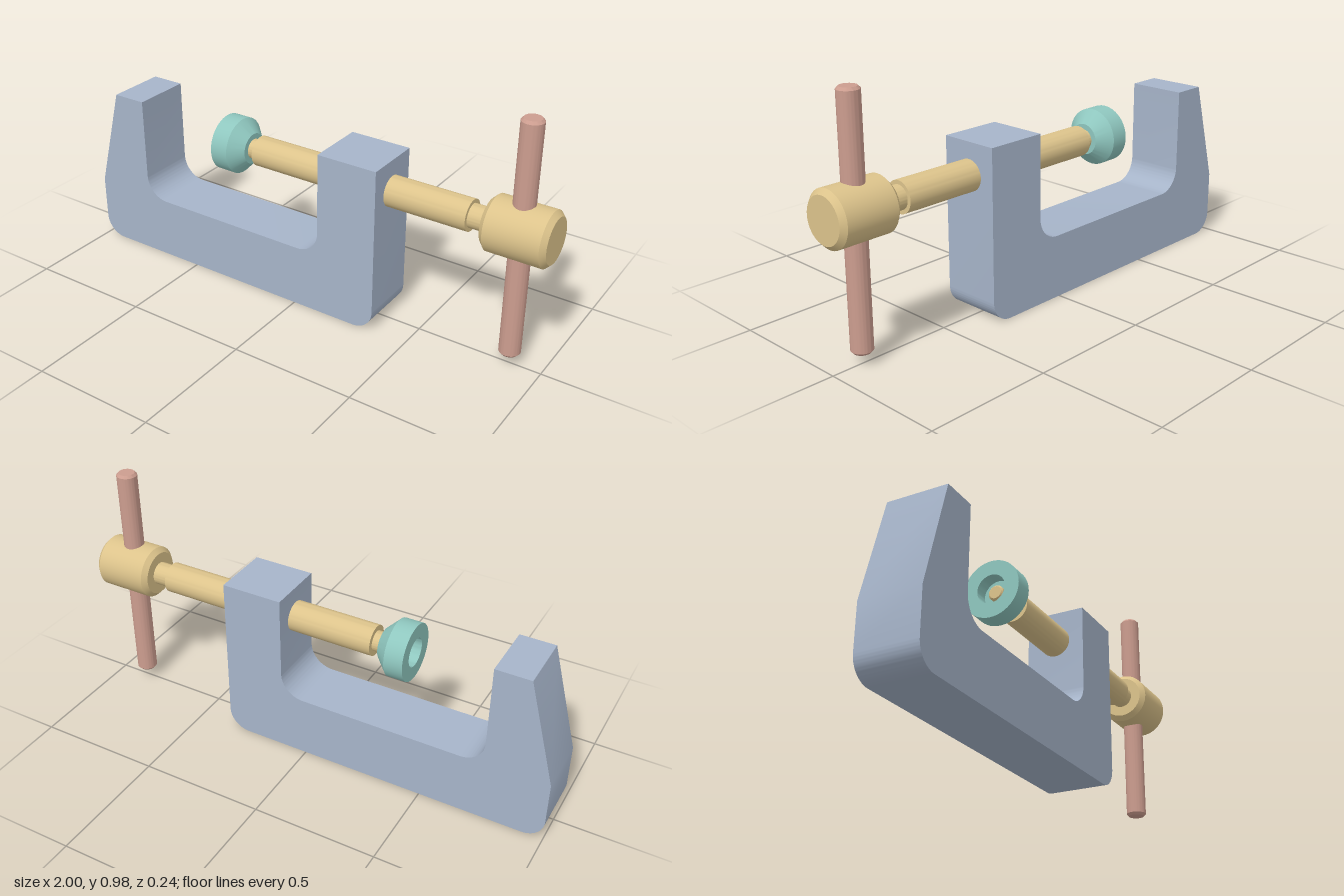
import * as THREE from 'three';
import { toCreasedNormals } from 'three/addons/utils/BufferGeometryUtils.js';

const AXIS_Y = 0.557; // height of the screw axis

function material(name, color) {
  const m = new THREE.MeshStandardMaterial({ color });
  m.name = name;
  return m;
}

function mesh(name, geometry, mat) {
  const m = new THREE.Mesh(toCreasedNormals(geometry, 0.45), mat);
  m.name = name;
  return m;
}

// Turned part from [radius, height] pairs, bottom to top
function turned(profile) {
  return new THREE.LatheGeometry(profile.map(([r, h]) => new THREE.Vector2(r, h)), 48);
}

// Turned part lying along x, on the screw axis
function turnedAlongX(profile) {
  return turned(profile).rotateZ(-Math.PI / 2).translate(0, AXIS_Y, 0);
}

// C-shaped frame with a tapered anvil on one side and a square post on the other
function frameGeometry() {
  const H = 0.683, HALF = Math.PI / 2, R = 0.085, F = 0.095;
  const left = -1, right = 0.357, floor = 0.255, jaw = -0.745, post = 0.108;
  const s = new THREE.Shape();
  s.moveTo(left + R, 0);
  s.lineTo(right - R, 0);
  s.absarc(right - R, R, R, -HALF, 0, false);
  s.lineTo(right, H);
  s.lineTo(post, H);
  s.lineTo(post, floor + F);
  s.absarc(post - F, floor + F, F, 0, -HALF, true);
  s.lineTo(jaw + F, floor);
  s.absarc(jaw + F, floor + F, F, -HALF, -Math.PI, true);
  s.lineTo(jaw, H);
  s.lineTo(-0.885, H);
  s.lineTo(left, 0.262);
  s.lineTo(left, R);
  s.absarc(left + R, R, R, Math.PI, Math.PI * 1.5, false);
  return new THREE.ExtrudeGeometry(s, { depth: 0.24, bevelEnabled: false, curveSegments: 12 })
    .translate(0, 0, -0.12);
}

export function createModel() {
  const steel = material('blue grey steel', 0xa6b4c9);
  const brass = material('brass', 0xdcc38b);
  const copper = material('copper pink', 0xcc9d8f);
  const teal = material('teal', 0x8fc7bf);

  const model = new THREE.Group();
  model.name = 'clamp';
  model.add(mesh('frame', frameGeometry(), steel));

  // Spindle: tip, front neck, shaft, rear neck and chamfered head
  model.add(mesh('screw', turnedAlongX([
    [0, -0.37], [0.024, -0.37], [0.03, -0.364], [0.03, -0.335], [0.04, -0.335],
    [0.04, -0.24], [0.061, -0.24], [0.061, 0.685], [0.046, 0.685], [0.046, 0.752],
    [0.087, 0.752], [0.106, 0.771], [0.106, 0.981], [0.087, 1], [0, 1],
  ]), brass));

  // Pressure pad with a recess around the screw tip
  model.add(mesh('pressurePad', turnedAlongX([
    [0, -0.345], [0.057, -0.345], [0.057, -0.4], [0.114, -0.4],
    [0.114, -0.325], [0.062, -0.274], [0, -0.274],
  ]), teal));

  // Sliding bar through the head
  const bar = mesh('handleBar', turned([
    [0, 0.044], [0.032, 0.044], [0.041, 0.054], [0.041, 0.971], [0.032, 0.981], [0, 0.981],
  ]), copper);
  bar.position.x = 0.873;
  model.add(bar);

  return model;
}
